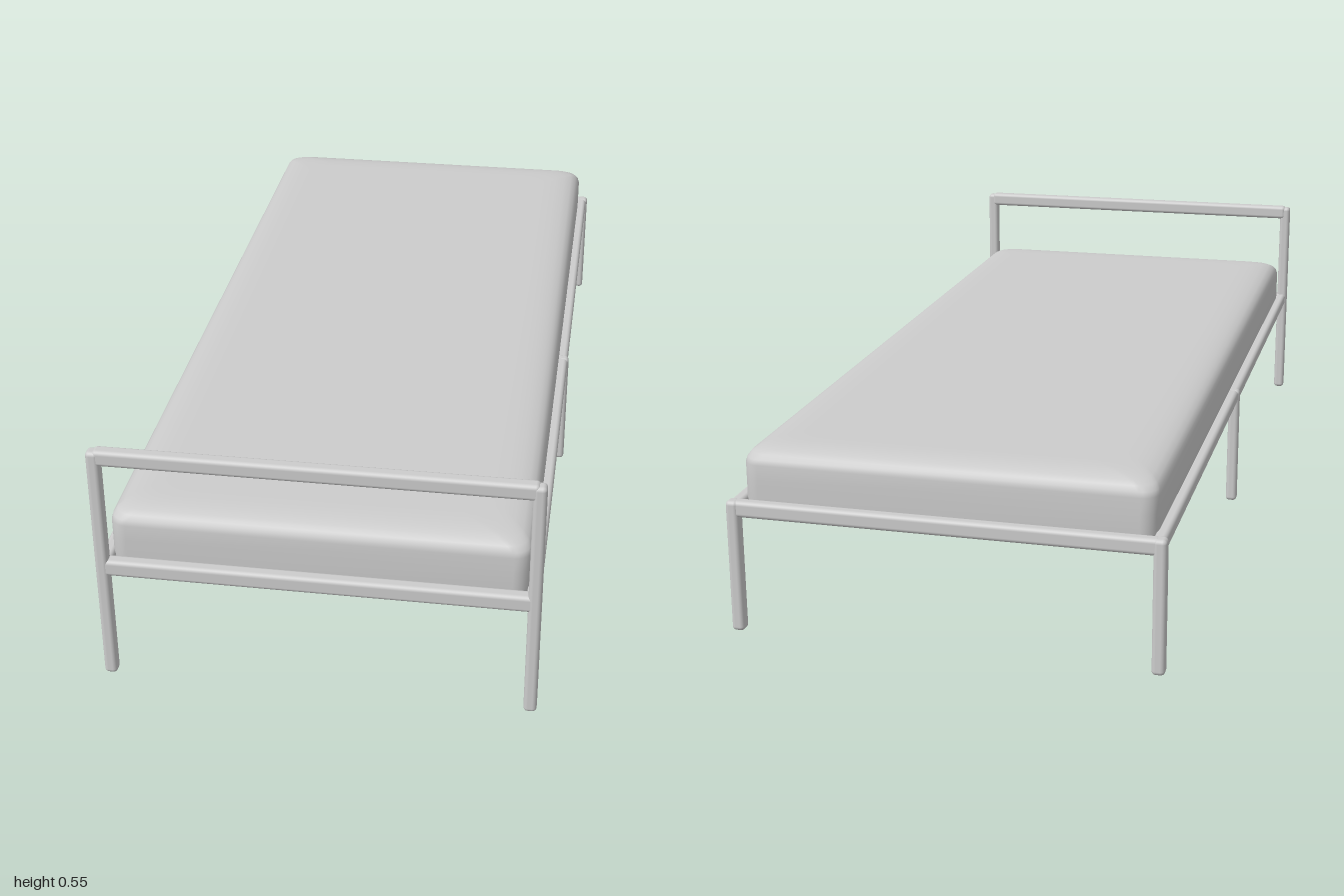
import * as THREE from 'three';
import { RoundedBoxGeometry } from 'three/addons/geometries/RoundedBoxGeometry.js';

const paleGrey = new THREE.MeshStandardMaterial({ color: 0xcccccc, side: THREE.DoubleSide });
paleGrey.name = 'paleGrey';

// Rounded square tube spanning the given ranges
function bar(name, [x0, x1], [y0, y1], [z0, z1], radius = 0.009) {
  const geometry = new RoundedBoxGeometry(x1 - x0, y1 - y0, z1 - z0, 3, radius);
  const mesh = new THREE.Mesh(geometry, paleGrey);
  mesh.position.set((x0 + x1) / 2, (y0 + y1) / 2, (z0 + z1) / 2);
  mesh.name = name;
  return mesh;
}

// Mattress: stacked rounded rectangles, crowned on top and open underneath
function mattress() {
  const halfX = 0.428, halfZ = 0.967, steps = 6;
  const rings = [[0.002, 0.255], [0, 0.28], [0, 0.32], [0, 0.355], [0.003, 0.366], [0.01, 0.376],
    [0.022, 0.383], [0.04, 0.388], [0.065, 0.391], [0.1, 0.392]];
  const positions = [], indices = [];
  const n = 4 * (steps + 1);
  for (const [inset, y] of rings) {
    const radius = 0.035 + inset * 0.3;
    for (let corner = 0; corner < 4; corner++) {
      const sx = corner === 0 || corner === 3 ? 1 : -1;
      const sz = corner < 2 ? 1 : -1;
      for (let i = 0; i <= steps; i++) {
        const a = (corner + i / steps) * Math.PI / 2;
        positions.push(sx * (halfX - inset - radius) + radius * Math.cos(a), y,
          sz * (halfZ - inset - radius) + radius * Math.sin(a));
      }
    }
  }
  for (let r = 0; r < rings.length - 1; r++) {
    for (let i = 0; i < n; i++) {
      const a = r * n + i, b = r * n + (i + 1) % n;
      indices.push(a, a + n, b, b, a + n, b + n);
    }
  }
  // Flat centre of the top
  const last = (rings.length - 1) * n, centre = positions.length / 3;
  positions.push(0, 0.392, 0);
  for (let i = 0; i < n; i++) indices.push(last + i, centre, last + (i + 1) % n);
  const geometry = new THREE.BufferGeometry();
  geometry.setAttribute('position', new THREE.Float32BufferAttribute(positions, 3));
  geometry.setIndex(indices);
  geometry.computeVertexNormals();
  const mesh = new THREE.Mesh(geometry, paleGrey);
  mesh.name = 'mattress';
  return mesh;
}

export function createModel() {
  const bed = new THREE.Group();
  bed.name = 'bed';
  bed.add(mattress());

  // Posts, legs and long rails, mirrored left and right
  for (const side of [1, -1]) {
    const label = side > 0 ? 'left' : 'right';
    const span = (a, b) => (side > 0 ? [a, b] : [-b, -a]);
    bed.add(
      bar(label + 'FrontPost', span(0.426, 0.453), [0, 0.542], [0.969, 0.998]),
      bar(label + 'MiddleLeg', span(0.426, 0.452), [0, 0.285], [-0.013, 0.013]),
      bar(label + 'BackLeg', span(0.426, 0.453), [0, 0.285], [-1, -0.97]),
      bar(label + 'SideRail', span(0.422, 0.449), [0.253, 0.284], [-0.985, 0.985]),
    );
  }

  // Crosswise bars
  const across = [-0.44, 0.44];
  bed.add(
    bar('topRail', across, [0.51, 0.545], [0.967, 0.997]),
    bar('frontRail', across, [0.248, 0.285], [0.967, 0.997]),
    bar('backRail', across, [0.25, 0.285], [-0.998, -0.97]),
    bar('middleCrossbar', across, [0.255, 0.28], [-0.012, 0.012]),
  );
  return bed;
}
